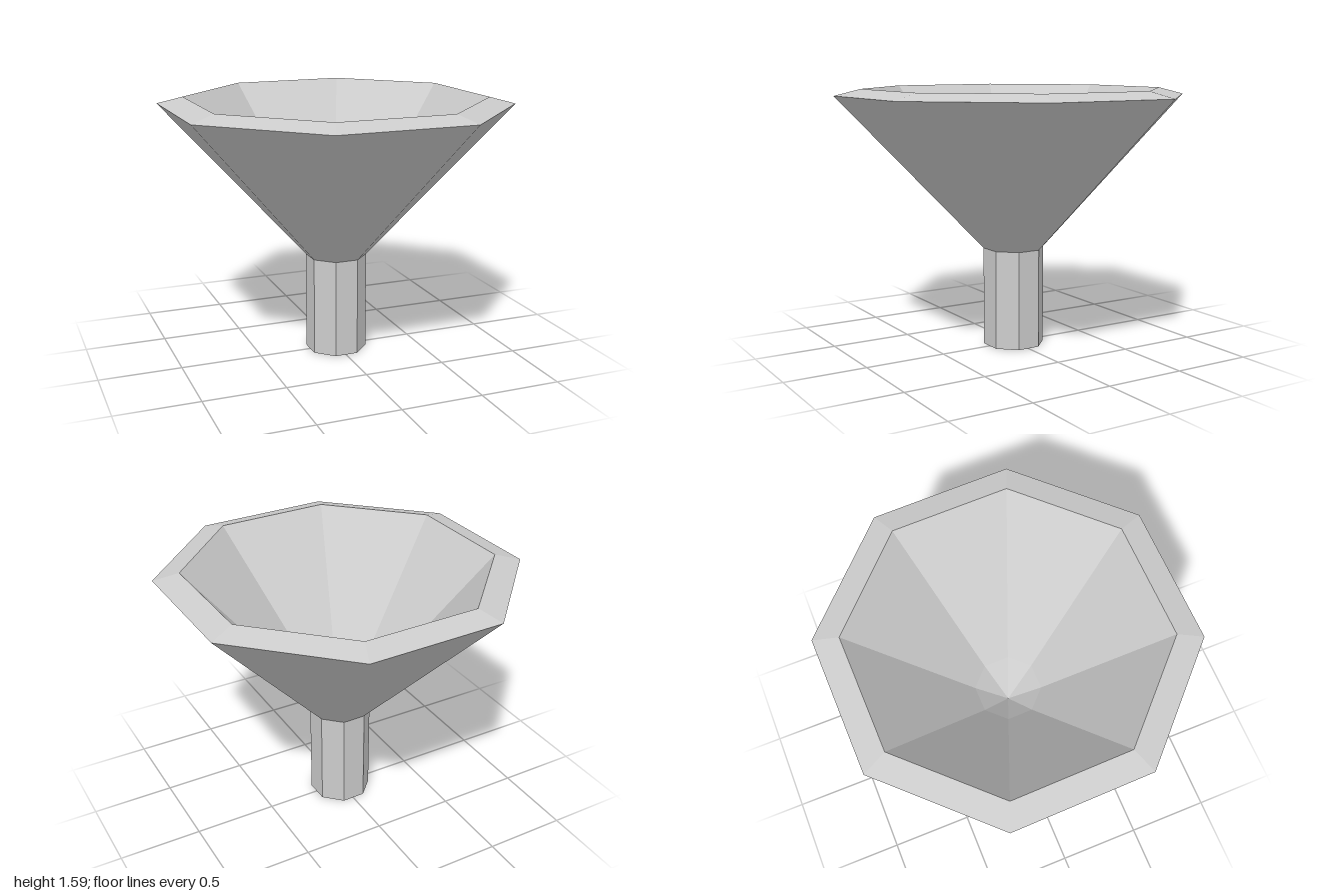
import * as THREE from 'three';

const SIDES = 8;
const TURN = THREE.MathUtils.degToRad(23.5);

// Eight-sided ring of faces swept from a [radius, height] profile.
// Profiles run up the outside, over the rim and down the inside.
function facetedPart(name, profile, material) {
  const points = profile.map(([r, y]) => new THREE.Vector2(r, y));
  const geometry = new THREE.LatheGeometry(points, SIDES, TURN);
  const mesh = new THREE.Mesh(geometry, material);
  mesh.name = name;
  return mesh;
}

export function createModel() {
  const model = new THREE.Group();
  model.name = 'funnel';

  const grey = new THREE.MeshStandardMaterial({ color: 0xcccccc, flatShading: true });
  grey.name = 'light grey';

  model.add(
    // tapered hole in the foot of the stem
    facetedPart('stemBore', [[0, 0.35], [0.11, 0]], grey),
    // flat end and straight outer wall of the stem
    facetedPart('stem', [[0.11, 0], [0.188, 0], [0.188, 0.61]], grey),
    // flaring outside of the cone
    facetedPart('coneOutside', [[0.188, 0.61], [1.075, 1.55]], grey),
    // bevelled lip
    facetedPart('rim', [[1.075, 1.55], [0.918, 1.59]], grey),
    // inside of the cone, flattening a little towards its bottom
    facetedPart('coneInside', [[0.918, 1.59], [0.205, 0.76], [0, 0.56]], grey)
  );
  return model;
}
